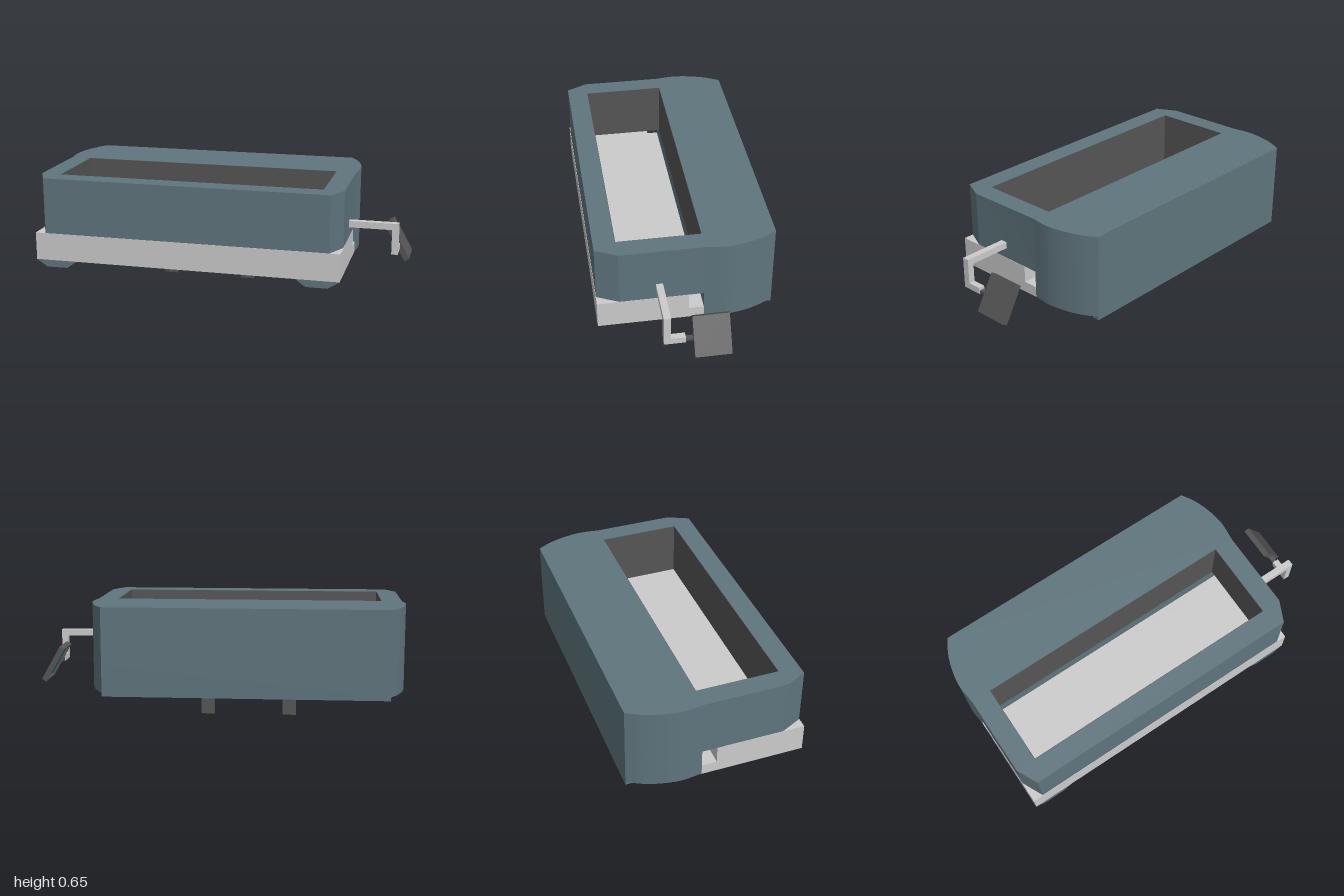
import * as THREE from 'three';
import { toCreasedNormals } from 'three/addons/utils/BufferGeometryUtils.js';

const CX = -0.154; // centre line of the body

const mat = (color) => new THREE.MeshStandardMaterial({ color });

export function createModel() {
  const model = new THREE.Group();
  const blue = mat(0x5f757d), grey = mat(0xcccccc), dark = mat(0x555555);
  const yellow = mat(0xfffa2a), glass = mat(0x1a7fa8);

  const add = (name, geometry, material, parent = model) => {
    const mesh = new THREE.Mesh(geometry, material);
    mesh.name = name;
    parent.add(mesh);
    return mesh;
  };
  // Box given by its limits on each axis
  const box = (name, material, [x0, x1], [y0, y1], [z0, z1], parent) => {
    const g = new THREE.BoxGeometry(x1 - x0, y1 - y0, z1 - z0);
    g.translate((x0 + x1) / 2, (y0 + y1) / 2, (z0 + z1) / 2);
    return add(name, g, material, parent);
  };
  // Box whose underside is drawn in on chosen sides
  const taperedBox = (name, material, xs, ys, zs, { left = 0, right = 0, back = 0 }) => {
    const mesh = box(name, material, xs, ys, zs);
    const p = mesh.geometry.attributes.position;
    for (let i = 0; i < p.count; i++) {
      if (p.getY(i) > (ys[0] + ys[1]) / 2) continue;
      const x = p.getX(i), z = p.getZ(i);
      p.setX(i, x < (xs[0] + xs[1]) / 2 ? x + left : x - right);
      if (z < (zs[0] + zs[1]) / 2) p.setZ(i, z + back);
    }
    mesh.geometry = mesh.geometry.toNonIndexed();
    mesh.geometry.computeVertexNormals();
  };
  // Plan outline (x, z) raised between two heights; a hole runs opposite to the outline
  const plan = (points, y0, y1, hole) => {
    const shape = new THREE.Shape(points.map(([x, z]) => new THREE.Vector2(x, -z)));
    if (hole) shape.holes.push(new THREE.Path(hole.map(([x, z]) => new THREE.Vector2(x, -z))));
    const g = new THREE.ExtrudeGeometry(shape, { depth: y1 - y0, bevelEnabled: false });
    g.rotateX(-Math.PI / 2).translate(0, y0, 0);
    return toCreasedNormals(g, 0.25);
  };
  const rect = (x0, x1, z0, z1) => [[x0, z0], [x1, z0], [x1, z1], [x0, z1]];

  // Bulging rear flank, from the waist to the back corner
  const flank = new THREE.SplineCurve([
    [0.835, -0.09], [0.846, -0.2], [0.832, -0.3], [0.803, -0.39], [0.76, -0.468],
  ].map(([x, z]) => new THREE.Vector2(x, z))).getPoints(24).map((v) => [v.x, v.y]);
  const mirrored = (half) => [
    ...half.map(([x, z]) => [CX + x, z]),
    ...half.slice().reverse().map(([x, z]) => [CX - x, z]),
  ];

  // Main body with an open well, and the full-depth rear part below it
  const well = [-0.88, 0.572, -0.09, 0.352];
  add('upperBody', plan(mirrored([[0.78, 0.465], [0.835, 0.35], ...flank]), 0.342, 0.648, rect(...well).reverse()), blue);
  add('lowerRearBody', plan(mirrored(flank), 0.191, 0.342), blue);
  const t = 0.002;
  add('wellLining', plan(rect(...well), 0.342, 0.647,
    rect(well[0] + t, well[1] - t, well[2] + t, well[3] - t).reverse()), dark);

  // Front tray, with a lower step joining it to the rear
  const trayX = [CX - 0.837, CX + 0.837];
  box('tray', grey, trayX, [0.191, 0.342], [-0.01, 0.467]);
  box('trayStep', grey, trayX, [0.191, 0.25], [-0.09, -0.01]);

  // Underside: skids, rear lip, light bar, hatch
  const ys = [0.152, 0.191];
  taperedBox('leftSkid', blue, [0.45, 0.682], ys, [0, 0.467], { left: 0.055, right: 0.06, back: 0.05 });
  taperedBox('rightSkid', blue, [-0.992, -0.76], ys, [0, 0.467], { left: 0.06, right: 0.055, back: 0.05 });
  box('rearLip', blue, [CX - 0.76, CX + 0.76], [0.171, 0.191], [-0.468, -0.43]);
  taperedBox('lightBar', yellow, [CX - 0.76, CX + 0.76], ys, [-0.24, -0.2], { left: 0.03, right: 0.03 });
  box('hatch', grey, [-0.33, 0.06], [0.173, 0.191], [0.165, 0.265]);

  // Two legs, each with a small bracket behind
  for (const x of [-0.382, 0.075]) {
    const leg = new THREE.Group();
    leg.name = 'leg';
    model.add(leg);
    const xs = [x - 0.037, x + 0.037];
    box('post', dark, xs, [0, 0.195], [-0.085, -0.047], leg);
    box('bracket', dark, xs, [0.172, 0.195], [-0.12, -0.085], leg);
  }

  // Side mirror on a cranked arm
  const arm = new THREE.Group();
  arm.name = 'mirrorArm';
  model.add(arm);
  box('armOut', grey, [0.66, 0.947], [0.402, 0.437], [0.125, 0.162], arm);
  box('armDown', grey, [0.912, 0.947], [0.267, 0.402], [0.125, 0.162], arm);
  box('armBack', grey, [0.912, 0.947], [0.267, 0.302], [0.05, 0.125], arm);
  box('pivot', dark, [0.917, 0.941], [0.27, 0.286], [0, 0.05], arm);

  // Tilted mirror: a shallow housing with the glass set inside its rim
  const mirror = new THREE.Group();
  mirror.name = 'mirror';
  mirror.position.set(0.932, 0.287, -0.085);
  mirror.rotation.z = 0.516;
  model.add(mirror);
  box('mirrorBack', dark, [0, 0.015], [-0.106, 0.106], [-0.095, 0.095], mirror);
  box('mirrorGlass', glass, [-0.002, 0], [-0.096, 0.096], [-0.085, 0.085], mirror);
  for (const s of [-1, 1]) {
    box('mirrorRim', dark, [-0.015, 0], [s * 0.101 - 0.005, s * 0.101 + 0.005], [-0.095, 0.095], mirror);
    box('mirrorRim', dark, [-0.015, 0], [-0.096, 0.096], [s * 0.09 - 0.005, s * 0.09 + 0.005], mirror);
  }

  return model;
}
